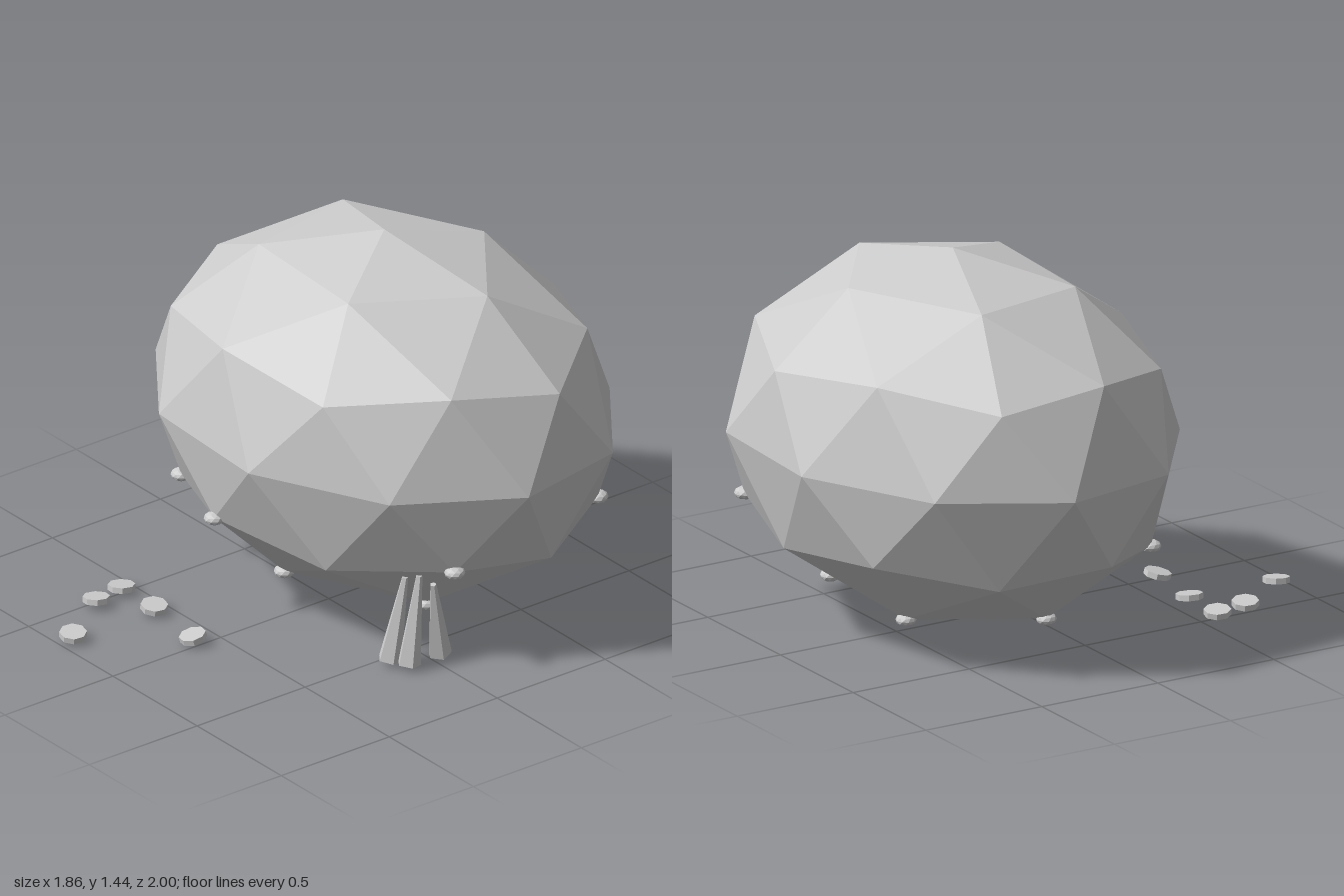
import * as THREE from 'three';

const stone = new THREE.MeshStandardMaterial({ color: 0xcccccc, flatShading: true });
stone.name = 'pale stone grey';

const CENTRE = new THREE.Vector3(0, 0.732, -0.257);
const RADII = new THREE.Vector3(0.947, 0.707, 0.76);
const TURN = 0.196;

// Icosphere standing on one of its corners
function icosphere() {
  return new THREE.IcosahedronGeometry(1, 1)
    .rotateZ(Math.atan(2 / (1 + Math.sqrt(5))))
    .rotateY(Math.PI);
}

function add(parent, name, geometry) {
  const mesh = new THREE.Mesh(geometry, stone);
  mesh.name = name;
  parent.add(mesh);
  return mesh;
}

// Corner of the large body, from its unit height and its angle about y
function bodyPoint(height, degrees) {
  const a = THREE.MathUtils.degToRad(degrees);
  const r = Math.sqrt(1 - height * height);
  return new THREE.Vector3(r * Math.cos(a), height, r * Math.sin(a))
    .multiply(RADII)
    .applyAxisAngle(new THREE.Vector3(0, 1, 0), TURN)
    .add(CENTRE);
}

// Tapered five-sided spike between two points
function spike(parent, name, base, top) {
  const a = new THREE.Vector3(...base), b = new THREE.Vector3(...top);
  const dir = b.clone().sub(a);
  const mesh = add(parent, name, new THREE.CylinderGeometry(0.012, 0.045, dir.length(), 5));
  mesh.position.copy(a).add(b).multiplyScalar(0.5);
  mesh.quaternion.setFromUnitVectors(new THREE.Vector3(0, 1, 0), dir.normalize());
}

export function createModel() {
  const model = new THREE.Group();
  model.name = 'boulder bush';

  // Large faceted body
  const body = add(model, 'body', icosphere());
  body.scale.copy(RADII);
  body.rotation.y = TURN;
  body.position.copy(CENTRE);

  // Small studs on the lower corners
  const studs = new THREE.Group();
  studs.name = 'studs';
  model.add(studs);
  const corners = [36, 108, 324].map((d) => [-0.447, d]);
  corners.push([-0.5257, 144]);
  for (let i = 0; i < 5; i++) corners.push([-0.8507, 36 + 72 * i]);
  for (const [h, d] of corners) {
    const stud = add(studs, 'stud', icosphere());
    stud.scale.set(0.039, 0.024, 0.039);
    stud.position.copy(bodyPoint(h, d));
  }

  // Cluster of three spikes under the left side
  const spikes = new THREE.Group();
  spikes.name = 'spikes';
  model.add(spikes);
  spike(spikes, 'frontSpike', [0.545, 0.02, 0.145], [0.568, 0.35, 0.09]);
  spike(spikes, 'middleSpike', [0.615, 0.02, 0.11], [0.62, 0.37, 0.065]);
  spike(spikes, 'backSpike', [0.6, 0.01, -0.045], [0.645, 0.33, 0.02]);

  // Flat eight-sided pebbles lying in front: x, y, z, tilt x, tilt z
  const pebbles = new THREE.Group();
  pebbles.name = 'pebbles';
  model.add(pebbles);
  const layout = [
    [-0.5, 0.028, 0.57, -0.1, 0.1],
    [-0.3, 0.03, 0.575, 0.05, -0.14],
    [-0.025, 0.03, 0.61, 0.2, 0.1],
    [-0.477, 0.031, 0.705, -0.1, 0.12],
    [-0.31, 0.03, 0.943, 0.1, -0.12],
  ];
  for (const [x, y, z, tx, tz] of layout) {
    const pebble = add(pebbles, 'pebble', new THREE.CylinderGeometry(0.051, 0.051, 0.022, 8));
    pebble.position.set(x, y, z);
    pebble.rotation.set(tx, 0.2, tz);
  }
  return model;
}
